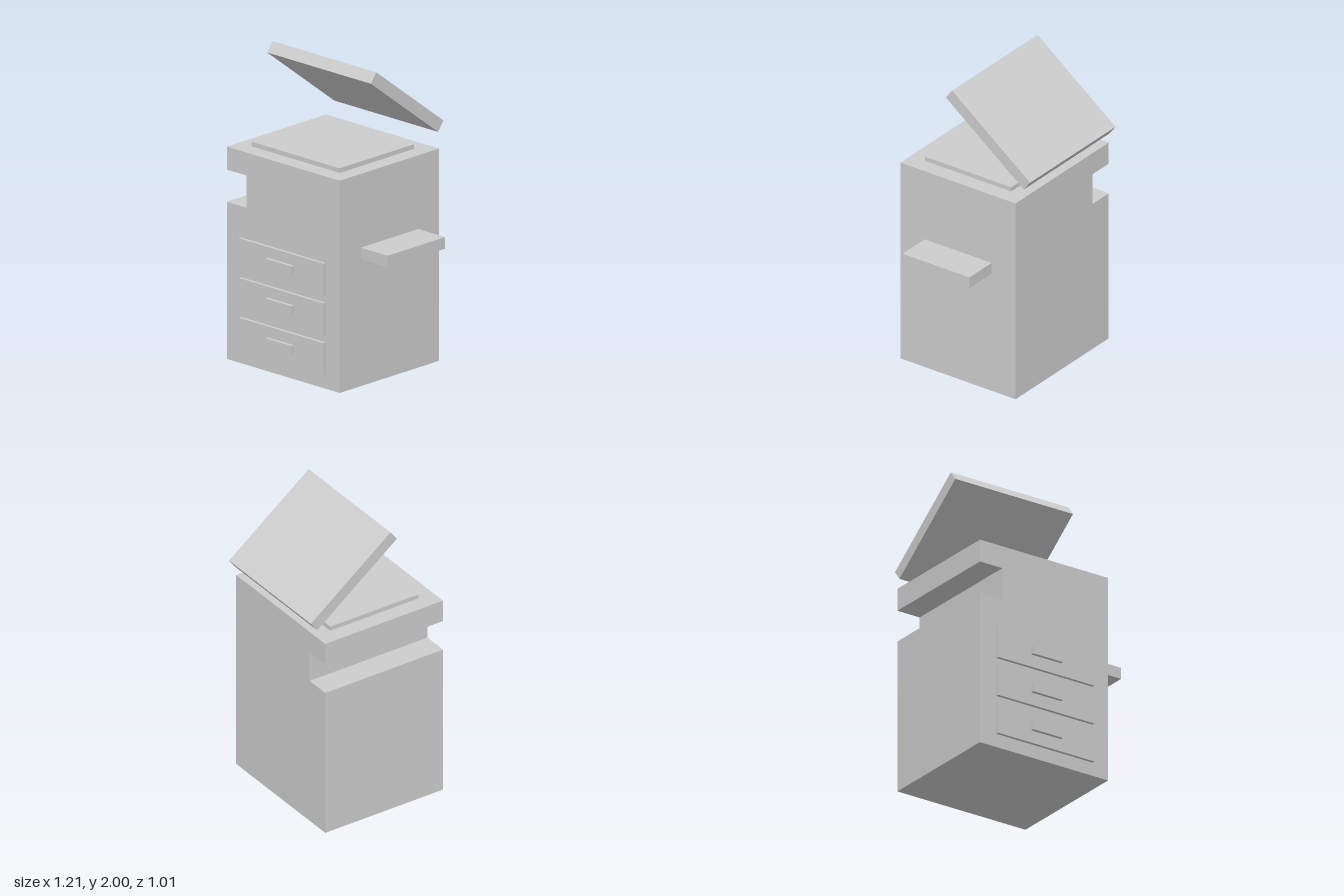
import * as THREE from 'three';

export function createModel() {
  const model = new THREE.Group();
  model.name = 'photocopier';
  const grey = new THREE.MeshStandardMaterial({ color: 0xcccccc });
  grey.name = 'light grey';

  // Box given by its extents along each axis
  function block(name, [x0, x1], [y0, y1], [z0, z1]) {
    const mesh = new THREE.Mesh(new THREE.BoxGeometry(x1 - x0, y1 - y0, z1 - z0), grey);
    mesh.position.set((x0 + x1) / 2, (y0 + y1) / 2, (z0 + z1) / 2);
    mesh.name = name;
    model.add(mesh);
    return mesh;
  }

  // Cabinet: front outline with the paper output notch, extruded front to back
  const outline = new THREE.Shape([
    [-0.605, 0], [0.37, 0], [0.37, 1.388], [-0.605, 1.388],
    [-0.605, 1.238], [-0.435, 1.238], [-0.435, 1.028], [-0.605, 1.028],
  ].map(([x, y]) => new THREE.Vector2(x, y)));
  const cabinet = new THREE.Mesh(
    new THREE.ExtrudeGeometry(outline, { depth: 0.888, bevelEnabled: false }), grey);
  cabinet.position.z = -0.425;
  cabinet.name = 'cabinet';
  model.add(cabinet);

  // Scanner bed on top
  block('scannerBed', [-0.497, 0.262], [1.388, 1.418], [-0.312, 0.352]);

  // Raised lid, tilted up towards the front
  const lid = new THREE.Mesh(new THREE.BoxGeometry(0.895, 0.08, 0.755), grey);
  lid.position.set(-0.118, 1.74, -0.182);
  lid.rotation.x = -0.65;
  lid.name = 'lid';
  model.add(lid);

  // Side paper tray
  block('paperTray', [0.37, 0.602], [0.83, 0.906], [-0.24, 0.275]);

  // Three drawers with handles
  for (let i = 0; i < 3; i++) {
    const y = 0.09 + i * 0.26;
    block('drawer' + (i + 1), [-0.482, 0.25], [y, y + 0.213], [0.463, 0.484]);
    block('drawerHandle' + (i + 1), [-0.23, -0.003], [y + 0.084, y + 0.142], [0.484, 0.506]);
  }

  return model;
}
